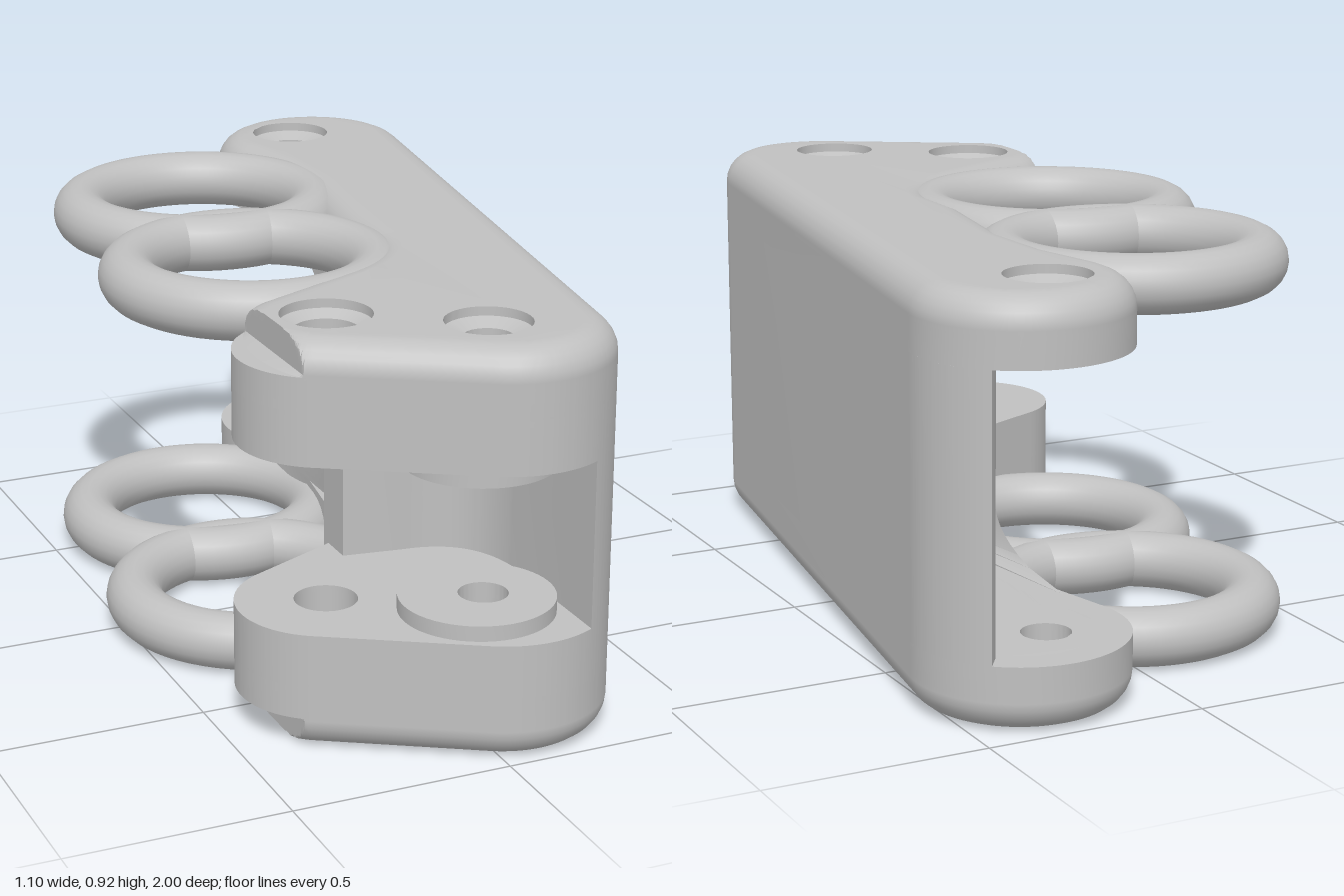
import * as THREE from 'three';
import { toCreasedNormals } from 'three/addons/utils/BufferGeometryUtils.js';

const HEIGHT = 0.92;
const TILT = 0.145; // slope of the long side wall
const BACK = [0.308, -0.76, 0.24], FRONT = [0.088, 0.765, 0.235], LUG = [-0.25, 0.6, 0.2];
const backHole = { x: 0.265, z: -0.8, r: 0.055, rim: 0.095 };
const frontHole = { x: 0.04, z: 0.78, r: 0.055, rim: 0.095 };
const lugHole = { x: -0.25, z: 0.6, r: 0.07, rim: 0.1 };

// Shapes are drawn in plan: shape x = model x, shape y = model z
function addHoles(shape, holes, radius) {
  for (const h of holes) {
    shape.holes.push(new THREE.Path().absarc(h.x, h.z, radius ?? h.r, 0, Math.PI * 2, true));
  }
  return shape;
}

// Front nose, lug and the hollow left edge, shared by plate and jaw
function frontOutline(s) {
  s.absarc(...FRONT, TILT, 2.14, false);
  s.absarc(...LUG, 2.14, Math.PI + 1.13, false);
  s.lineTo(-0.1, 0.31);
  s.quadraticCurveTo(0.05, 0.24, 0.07, 0.1);
  s.lineTo(0.07, -0.05);
}

function plateShape() {
  const s = new THREE.Shape();
  s.absarc(...BACK, Math.PI - 0.25, Math.PI * 2 + TILT, false);
  frontOutline(s);
  s.lineTo(0.12, -0.36);
  s.lineTo(0.11, -0.56);
  return s;
}

function jawShape() {
  const s = new THREE.Shape();
  s.moveTo(0.4, -0.6);
  frontOutline(s);
  s.lineTo(0.115, -0.22);
  s.lineTo(0.115, -0.6);
  return s;
}

function webShape() {
  const s = new THREE.Shape();
  s.absarc(...BACK, -0.86, TILT, false);
  s.absarc(...FRONT, TILT, 1.07, false);
  s.lineTo(0.2, 0.6);
  s.quadraticCurveTo(0.18, 0.43, 0.02, 0.42);
  s.lineTo(-0.12, 0.4);
  s.lineTo(-0.12, 0.295);
  s.quadraticCurveTo(0.08, 0.24, 0.12, 0.05);
  s.lineTo(0.13, -0.17);
  s.quadraticCurveTo(0.3, -0.15, 0.31, -0.33);
  s.lineTo(0.345, -0.62);
  s.lineTo(0.4, -0.66);
  s.lineTo(0.435, -0.9);
  return s;
}

// Straight prism from y0 to y1
function prism(shape, y0, y1, steps = 1) {
  const g = new THREE.ExtrudeGeometry(shape, { depth: y1 - y0, steps, bevelEnabled: false, curveSegments: 28 });
  return g.rotateX(Math.PI / 2).translate(0, y1, 0);
}

function eachVertex(g, rule) {
  const p = g.attributes.position, v = new THREE.Vector3();
  for (let i = 0; i < p.count; i++) {
    rule(v.fromBufferAttribute(p, i));
    p.setXYZ(i, v.x, v.y, v.z);
  }
  return g;
}

// Rounded outer skin of a plate; hole walls are pulled to a rim and a narrower bore
function roundedPlate() {
  const holes = [backHole, frontHole, lugHole];
  const g = new THREE.ExtrudeGeometry(addHoles(plateShape(), holes, 0.03), {
    depth: 0.01, bevelThickness: 0.07, bevelSize: 0.07, bevelOffset: -0.07, bevelSegments: 6, curveSegments: 28,
  });
  g.rotateX(Math.PI / 2).translate(0, 0.08, 0);
  return eachVertex(g, (v) => {
    for (const h of holes) {
      const dx = v.x - h.x, dz = v.z - h.z, d = Math.hypot(dx, dz);
      if (d > 0.115 || d < 1e-5) continue;
      const r = v.y < 0.03 ? h.rim : h.r;
      v.x = h.x + dx / d * r;
      v.z = h.z + dz / d * r;
    }
    // Ledge cut into the tip of the lug
    if (v.y < 0.075) v.x = Math.max(v.x, -0.37);
  });
}

// Thick front jaw, its back end sweeping up in a hollow ramp
function jaw() {
  const g = prism(addHoles(jawShape(), [frontHole, lugHole]), 0.15, 0.27, 8);
  return eachVertex(g, (v) => {
    const t = (v.y - 0.15) / 0.12;
    if (v.z < -0.55) v.z += 0.33 * Math.sqrt(Math.max(0, 1 - (1 - t) ** 2));
  });
}

function washer() {
  const s = new THREE.Shape().absarc(0.025, 0.78, 0.172, 0, Math.PI * 2, false);
  return prism(addHoles(s, [frontHole]), 0.27, 0.305);
}

function ring(x, z) {
  return new THREE.TorusGeometry(0.283, 0.066, 20, 64).rotateX(Math.PI / 2).translate(x, 0.067, z);
}

// Mirror a lower part to the top, keeping faces outward
function mirrored(geometry) {
  const g = geometry.index ? geometry.toNonIndexed() : geometry.clone();
  g.scale(1, -1, 1).translate(0, HEIGHT, 0);
  for (const name of ['position', 'normal']) {
    const a = g.attributes[name], p = new THREE.Vector3(), q = new THREE.Vector3();
    for (let i = 0; i < a.count; i += 3) {
      p.fromBufferAttribute(a, i);
      q.fromBufferAttribute(a, i + 2);
      a.setXYZ(i, q.x, q.y, q.z);
      a.setXYZ(i + 2, p.x, p.y, p.z);
    }
  }
  return g;
}

export function createModel() {
  const model = new THREE.Group();
  model.name = 'hingeBracket';
  const grey = new THREE.MeshStandardMaterial({ color: 0xc0c0c0 });
  grey.name = 'plain grey';

  const add = (name, geometry) => {
    const mesh = new THREE.Mesh(geometry, grey);
    mesh.name = name;
    model.add(mesh);
  };

  // Long side wall joining both plates
  add('sideWall', toCreasedNormals(prism(webShape(), 0.15, HEIGHT - 0.15), 0.5));

  // Lower parts and their mirrored upper twins
  const parts = {
    PlateSkin: toCreasedNormals(roundedPlate(), 0.5),
    PlateCore: toCreasedNormals(prism(addHoles(plateShape(), [backHole, frontHole, lugHole]), 0.075, 0.15), 0.5),
    Jaw: toCreasedNormals(jaw(), 0.5),
    Washer: toCreasedNormals(washer(), 0.5),
    BackRing: ring(-0.127, -0.45),
    FrontRing: ring(-0.2, 0.073),
  };
  for (const [name, geometry] of Object.entries(parts)) {
    add('lower' + name, geometry);
    add('upper' + name, mirrored(geometry));
  }
  return model;
}
